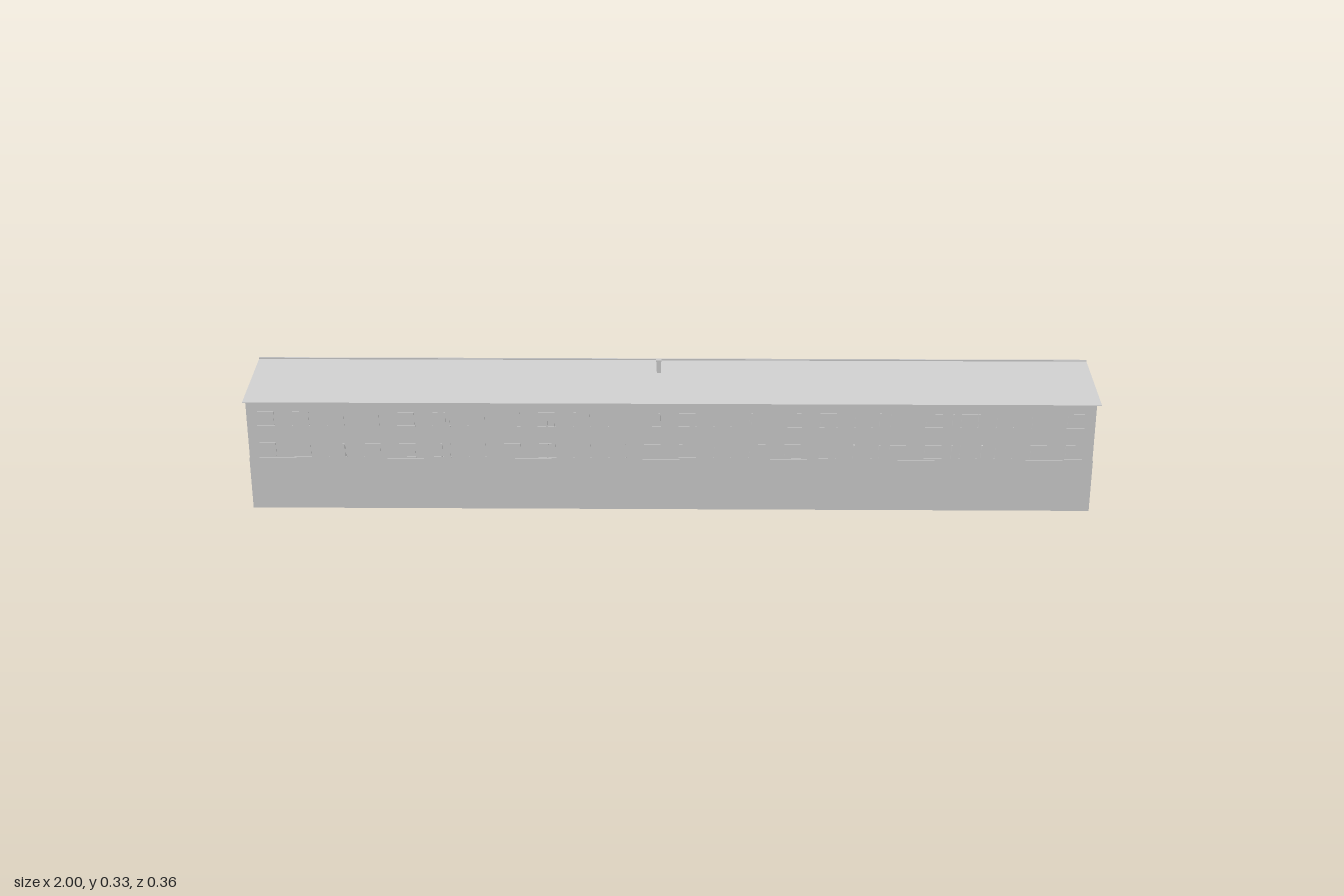
import * as THREE from 'three';

export function createModel() {
  const model = new THREE.Group();
  model.name = 'longBuilding';
  const grey = new THREE.MeshStandardMaterial({ color: 0xcccccc });
  grey.name = 'plain grey';

  const add = (name, geometry, x, y, z) => {
    const mesh = new THREE.Mesh(geometry, grey);
    mesh.name = name;
    mesh.position.set(x, y, z);
    model.add(mesh);
    return mesh;
  };
  const box = (name, w, h, d, x, y, z) => add(name, new THREE.BoxGeometry(w, h, d), x, y, z);

  // Lower storey and slightly set-back upper storeys
  box('lowerWalls', 1.988, 0.126, 0.342, -0.002, 0.063, 0.001);
  box('upperWalls', 1.986, 0.14, 0.34, -0.002, 0.196, 0.001);

  // Gabled roof with a small overhang
  const gable = new THREE.Shape();
  gable.moveTo(-0.18, 0.264);
  gable.lineTo(0.18, 0.264);
  gable.lineTo(0.18, 0.266);
  gable.lineTo(0, 0.32);
  gable.lineTo(-0.18, 0.266);
  gable.closePath();
  const roof = new THREE.ExtrudeGeometry(gable, { depth: 2, bevelEnabled: false });
  roof.translate(0, 0, -1);
  roof.rotateY(Math.PI / 2);
  add('roof', roof, 0, 0, 0);
  box('ridgeCap', 2, 0.004, 0.005, 0, 0.3205, 0);

  // Chimney
  box('chimney', 0.01, 0.036, 0.01, -0.03, 0.314, 0.05);
  box('chimneyCap', 0.013, 0.003, 0.013, -0.03, 0.3325, 0.05);

  // Two rows of windows with sills on both long sides
  const count = 24;
  for (const side of [1, -1]) {
    const wall = side > 0 ? 0.171 : -0.169;
    for (const y of [0.147, 0.224]) {
      for (let i = 0; i < count; i++) {
        const x = -0.95 + (i * 1.895) / (count - 1);
        box('window', 0.038, 0.033, 0.002, x, y, wall + side * 0.0005);
        box('windowSill', 0.042, 0.002, 0.003, x, y - 0.0175, wall + side * 0.001);
      }
    }
  }

  // Open shutters standing out from the facades
  const shutters = [
    [1, 0.224, [-0.53, -0.29, 0.19, 0.49, 0.66, 0.72]],
    [1, 0.147, [-0.77, -0.54, -0.29, -0.05, 0.43, 0.49, 0.66, 0.73]],
    [-1, 0.224, [0.6, 0.33, 0.13, -0.11, -0.6]],
    [-1, 0.147, [0.93, 0.6, 0.33, 0.13, -0.35, -0.88]],
  ];
  for (const [side, y, xs] of shutters) {
    const wall = side > 0 ? 0.171 : -0.169;
    for (const x of xs) box('shutter', 0.004, 0.034, 0.008, x, y, wall);
  }

  // Small sloping canopy over the rear entrance
  const canopy = box('rearCanopy', 0.035, 0.002, 0.014, 0.95, 0.111, -0.176);
  canopy.rotation.x = -0.2;
  box('rearDoorFrame', 0.03, 0.05, 0.003, 0.95, 0.135, -0.17);

  return model;
}
